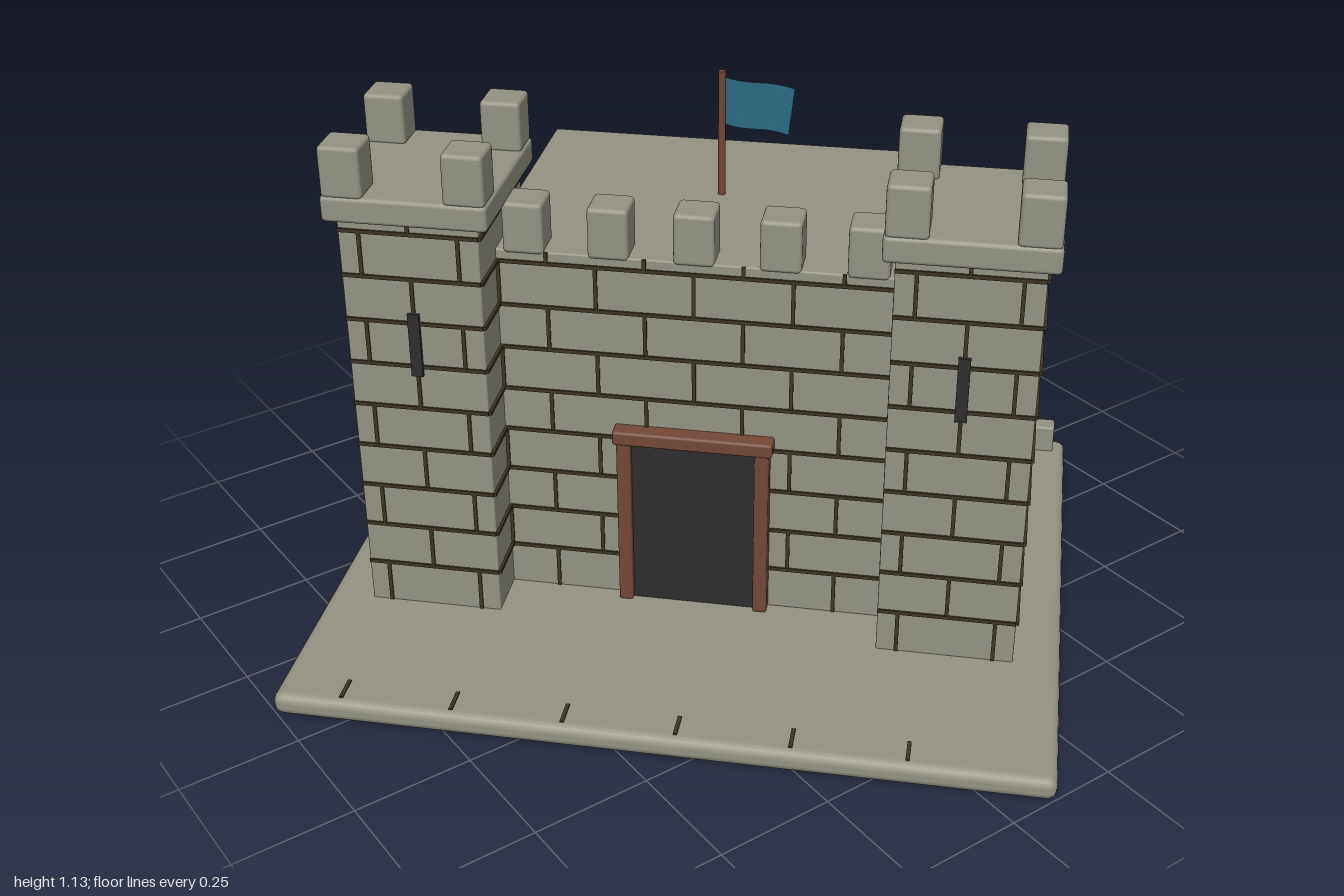
import * as THREE from 'three';
import { RoundedBoxGeometry } from 'three/addons/geometries/RoundedBoxGeometry.js';

const mat = (name, color, extra = {}) => {
  const m = new THREE.MeshStandardMaterial({ color, ...extra });
  m.name = name;
  return m;
};

export function createModel() {
  const stone = mat('stone', 0x949384);
  const mortar = mat('mortar', 0x3d3423);
  const wood = mat('wood', 0x744837);
  const dark = mat('dark opening', 0x2d2d2d);
  const cloth = mat('flag cloth', 0x2c6a82, { side: THREE.DoubleSide });

  const model = new THREE.Group();
  model.name = 'castleGate';
  // The fort stands diagonally; everything below is built with its facade on local +z
  const fort = new THREE.Group();
  fort.name = 'fort';
  fort.rotation.y = Math.PI / 4;
  model.add(fort);

  // Box given by its size and the height of its underside; bevelled when r > 0
  const box = (name, m, w, h, d, x, y0, z, r = 0, parent = fort) => {
    const g = r ? new RoundedBoxGeometry(w, h, d, 2, r) : new THREE.BoxGeometry(w, h, d);
    const mesh = new THREE.Mesh(g, m);
    mesh.name = name;
    mesh.position.set(x, y0 + h / 2, z);
    parent.add(mesh);
    return mesh;
  };

  const ground = 0.05, course = 0.0975, line = 0.008;

  // Masonry joints: courses on the front and on the +x side, staggered uprights on the front
  const masonry = (x0, x1, front, back, top, side) => {
    const g = new THREE.Group();
    g.name = 'masonryJoints';
    fort.add(g);
    const mid = (x0 + x1) / 2, half = (x1 - x0) / 2;
    for (let row = 0; ground + row * course < top - 0.01; row++) {
      const y = ground + row * course;
      const h = Math.min(course, top - y);
      if (row > 0) {
        box('courseLine', mortar, x1 - x0, line, 0.008, mid, y - line / 2, front, 0, g);
        if (side) box('sideCourseLine', mortar, 0.012, line, front - back, x1, y - line / 2, (front + back) / 2, 0, g);
      }
      const start = row % 2 ? 0 : 0.1;
      for (let k = -4; k <= 4; k++) {
        const u = start + k * 0.2;
        if (Math.abs(u) < half - 0.02) box('uprightJoint', mortar, line, h, 0.006, mid + u, y, front, 0, g);
      }
    }
  };

  // Ground slab with tick marks along its front edge
  box('groundSlab', stone, 1.57, 0.05, 1.282, 0, 0, 0, 0.02);
  for (let i = 0; i < 6; i++) box('edgeMark', mortar, 0.008, 0.006, 0.055, -0.643 + i * 0.228, 0.047, 0.595);

  // Low kerb blocks along the back edge
  for (let i = 0; i < 9; i++) {
    const x = i < 8 ? -0.684 + i * 0.1755 : 0.69;
    box('kerbBlock', stone, 0.132, 0.07, 0.045, x, 0.045, -0.602, 0.006);
  }

  // Main hall with battlements on the front wall
  box('mainHall', stone, 0.865, 0.807, 0.645, 0, 0.048, -0.1575, 0.004);
  masonry(-0.4325, 0.4325, 0.165, -0.48, 0.855, true);
  for (let i = -2; i <= 2; i++) box('wallMerlon', stone, 0.083, 0.11, 0.083, i * 0.173, 0.848, 0.127, 0.009);

  // Twin towers
  for (const s of [-1, 1]) {
    const x = s * 0.545, z = 0.116;
    box('towerBody', stone, 0.284, 0.91, 0.325, x, 0.048, z, 0.003);
    masonry(x - 0.142, x + 0.142, z + 0.1625, z - 0.1625, 0.95, true);
    box('towerCap', stone, 0.333, 0.055, 0.367, x, 0.95, z, 0.009);
    for (const i of [-1, 1]) for (const j of [-1, 1])
      box('towerMerlon', stone, 0.083, 0.108, 0.083, x + i * 0.122, 1.0, z + j * 0.14, 0.009);
    box('arrowSlit', dark, 0.024, 0.14, 0.016, x, 0.615, z + 0.1625);
  }

  // Doorway
  box('door', dark, 0.27, 0.4, 0.024, 0, ground, 0.168);
  for (const s of [-1, 1]) box('doorPost', wood, 0.03, 0.4, 0.045, s * 0.145, ground, 0.174, 0.005);
  box('doorLintel', wood, 0.335, 0.032, 0.055, 0, 0.44, 0.174, 0.006);

  // Flagpole and flag
  const pole = new THREE.Mesh(new THREE.CylinderGeometry(0.008, 0.008, 0.28, 10), wood);
  pole.name = 'flagpole';
  pole.position.set(0, 0.99, -0.18);
  fort.add(pole);
  const flagGeo = new THREE.PlaneGeometry(1, 1, 8, 1);
  const p = flagGeo.attributes.position;
  for (let i = 0; i < p.count; i++) {
    const t = p.getX(i) + 0.5, up = p.getY(i) > 0;
    p.setXYZ(i, t * (up ? 0.152 : 0.14), (up ? 1.118 : 1.015) - t * 0.018, -0.18 + 0.008 * Math.sin(t * Math.PI * 2));
  }
  flagGeo.computeVertexNormals();
  const flag = new THREE.Mesh(flagGeo, cloth);
  flag.name = 'flag';
  fort.add(flag);

  return model;
}
